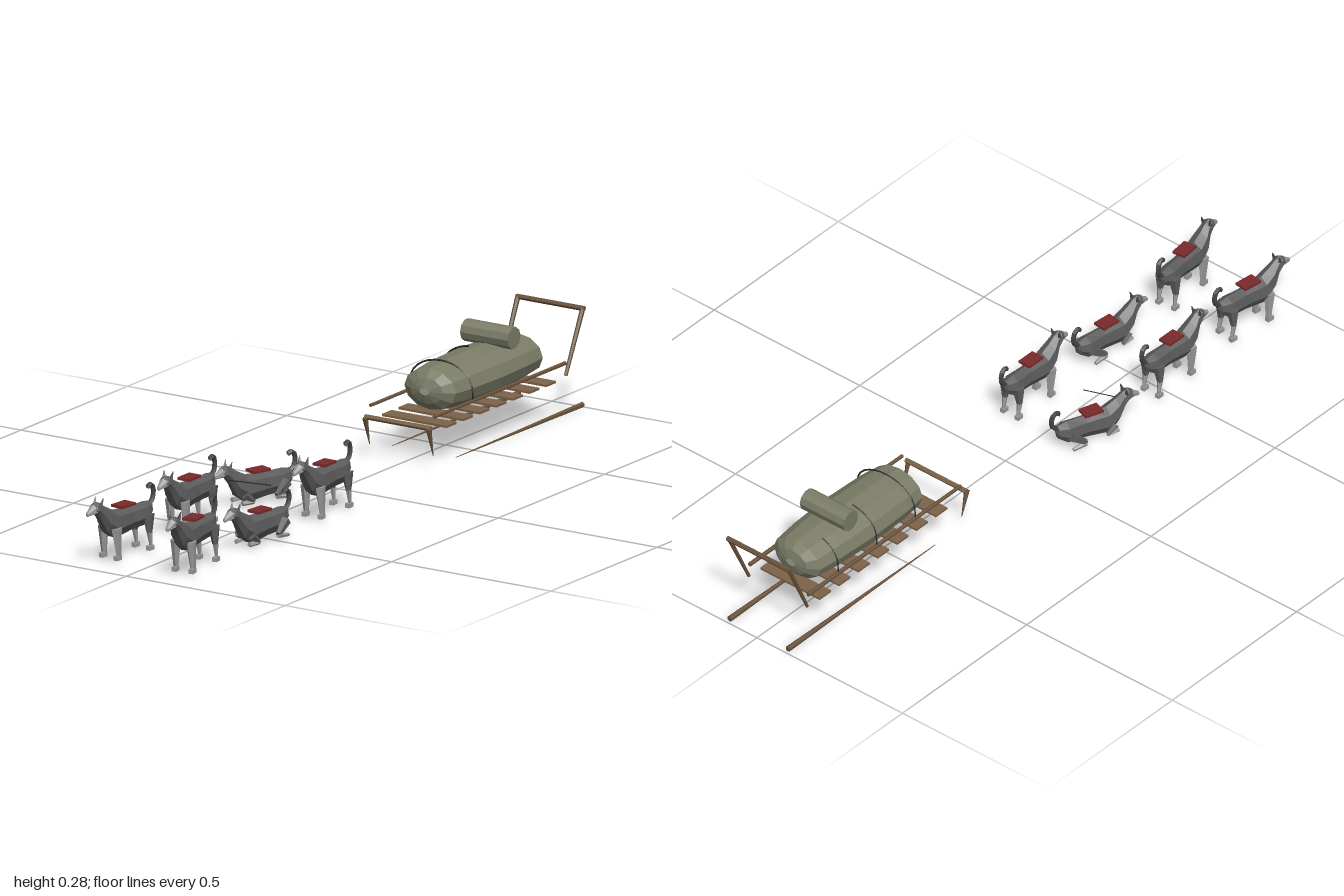
import * as THREE from 'three';

const mat = (color) => new THREE.MeshStandardMaterial({ color, flatShading: true, side: THREE.DoubleSide });
const wood = mat(0x6b543e), plank = mat(0x7d6248), canvas = mat(0x7b7d67), rope = mat(0x2a2824);
const fur = mat(0x5c5c5c), darkFur = mat(0x454545), paleFur = mat(0x9a9a9a), red = mat(0x7a2a2a);
const V = (x, y, z) => new THREE.Vector3(x, y, z);

function add(parent, name, geometry, material) {
  const mesh = new THREE.Mesh(geometry, material);
  mesh.name = name;
  parent.add(mesh);
  return mesh;
}

// Tapered round bar from a to b
function bar(parent, name, a, b, ra, rb, material, sides = 6) {
  const mesh = add(parent, name, new THREE.CylinderGeometry(rb, ra, a.distanceTo(b), sides), material);
  mesh.position.copy(a).add(b).multiplyScalar(0.5);
  mesh.quaternion.setFromUnitVectors(V(0, 1, 0), b.clone().sub(a).normalize());
  return mesh;
}

// Skin over elliptical sections [z, y, halfWidth, halfHeight]
function loft(sections, sides) {
  const pos = [], index = [];
  sections.forEach(([z, y, w, h], i) => {
    for (let j = 0; j < sides; j++) {
      const t = (j / sides) * Math.PI * 2 + Math.PI / 2;
      pos.push(Math.cos(t) * w, y + Math.sin(t) * h, z);
      if (i < sections.length - 1) {
        const a = i * sides + j, b = i * sides + (j + 1) % sides;
        index.push(a, b, b + sides, a, b + sides, a + sides);
      }
    }
  });
  const g = new THREE.BufferGeometry();
  g.setAttribute('position', new THREE.Float32BufferAttribute(pos, 3));
  g.setIndex(index);
  g.computeVertexNormals();
  return g;
}

function createDog(lying) {
  const dog = new THREE.Group();
  dog.name = lying ? 'lyingDog' : 'standingDog';
  const body = new THREE.Group();
  body.name = 'dogBody';
  body.position.y = lying ? -0.055 : 0;
  dog.add(body);

  add(body, 'torso', loft([
    [-0.118, 0.115, 0.001, 0.001], [-0.112, 0.112, 0.015, 0.02], [-0.085, 0.104, 0.026, 0.032],
    [-0.03, 0.102, 0.023, 0.033], [0.035, 0.1, 0.03, 0.039], [0.065, 0.118, 0.026, 0.036],
    [0.085, 0.143, 0.018, 0.025], [0.1, 0.156, 0.017, 0.018], [0.112, 0.156, 0.013, 0.013],
  ], 7), fur);
  add(body, 'muzzle', loft([
    [0.108, 0.156, 0.015, 0.015], [0.118, 0.152, 0.011, 0.011],
    [0.134, 0.146, 0.006, 0.006], [0.136, 0.145, 0.001, 0.001],
  ], 6), paleFur);
  const tail = new THREE.CatmullRomCurve3([
    V(0, 0.118, -0.108), V(0, 0.135, -0.127), V(0, 0.16, -0.13), V(0, 0.175, -0.12), V(0, 0.17, -0.107),
  ]);
  add(body, 'tail', new THREE.TubeGeometry(tail, 7, 0.007, 5), darkFur);
  add(body, 'harnessPad', new THREE.BoxGeometry(0.038, 0.007, 0.055), red).position.set(0, 0.143, -0.01);

  for (const s of [-1, 1]) {
    bar(body, 'ear', V(s * 0.011, 0.165, 0.092), V(s * 0.014, 0.184, 0.087), 0.006, 0.001, darkFur, 4);
    if (lying) {
      // Folded legs resting along the flanks
      bar(dog, 'foldedThigh', V(s * 0.025, 0.048, -0.085), V(s * 0.034, 0.02, -0.045), 0.015, 0.008, fur, 5);
      bar(dog, 'foldedShank', V(s * 0.034, 0.018, -0.045), V(s * 0.036, 0.012, -0.085), 0.008, 0.005, paleFur, 5);
      bar(dog, 'foldedForeleg', V(s * 0.022, 0.035, 0.05), V(s * 0.027, 0.014, 0.025), 0.012, 0.006, fur, 5);
      bar(dog, 'forepaw', V(s * 0.026, 0.013, 0.025), V(s * 0.022, 0.013, 0.06), 0.006, 0.007, paleFur, 5);
    } else {
      bar(dog, 'foreleg', V(s * 0.022, 0.095, 0.045), V(s * 0.025, 0.016, 0.038), 0.015, 0.007, paleFur, 5);
      bar(dog, 'thigh', V(s * 0.021, 0.105, -0.085), V(s * 0.025, 0.055, -0.085), 0.017, 0.008, fur, 5);
      bar(dog, 'shank', V(s * 0.025, 0.057, -0.085), V(s * 0.025, 0.016, -0.092), 0.008, 0.004, paleFur, 5);
      for (const z of [0.042, -0.088])
        add(dog, 'paw', new THREE.BoxGeometry(0.013, 0.012, 0.02), paleFur).position.set(s * 0.025, 0.014, z);
    }
  }
  return dog;
}

function createSled() {
  const sled = new THREE.Group();
  sled.name = 'sled';

  // Rails, runners, handlebar uprights and front bow spikes
  for (const s of [-1, 1]) {
    const x = s * 0.1;
    bar(sled, 'sideRail', V(x, 0.14, -0.912), V(x, 0.14, -0.297), 0.006, 0.005, wood);
    bar(sled, 'runner', V(x, 0.008, -0.993), V(x, 0.006, -0.4), 0.008, 0.001, wood);
    bar(sled, 'handlebarUpright', V(x, 0.105, -0.915), V(s * 0.102, 0.27, -0.992), 0.005, 0.007, wood);
    bar(sled, 'bowSpike', V(x, 0.112, -0.272), V(x, 0.036, -0.293), 0.008, 0.001, wood, 5);
  }
  bar(sled, 'handlebarGrip', V(-0.107, 0.27, -0.993), V(0.107, 0.27, -0.993), 0.007, 0.007, wood);
  bar(sled, 'frontBow', V(-0.104, 0.113, -0.278), V(0.104, 0.113, -0.278), 0.007, 0.007, plank);

  // Deck slats
  for (let i = 0; i < 7; i++)
    add(sled, 'deckSlat', new THREE.BoxGeometry(0.204, 0.006, 0.046), plank).position.set(0, 0.1, -0.376 - i * 0.078);

  // Canvas cargo bundle, open at its tips
  const profile = [[0.16, -0.865], [0.55, -0.858], [0.85, -0.838], [0.94, -0.76], [1, -0.63],
    [0.95, -0.49], [0.86, -0.428], [0.55, -0.41], [0.16, -0.4]].map(([r, z]) => new THREE.Vector2(r, z));
  const bundle = new THREE.LatheGeometry(profile, 12);
  bundle.rotateX(Math.PI / 2).scale(0.094, 0.065, 1);
  add(sled, 'cargoBundle', bundle, canvas).position.y = 0.169;
  bar(sled, 'bedroll', V(-0.075, 0.252, -0.71), V(0.075, 0.252, -0.71), 0.03, 0.03, canvas, 10);

  // Lashings [z, start angle, end angle] over the bundle
  for (const [z, from, to] of [[-0.48, 0, Math.PI], [-0.635, 1.75, Math.PI], [-0.79, 2.05, Math.PI]]) {
    const pts = [];
    for (let i = 0; i <= 8; i++) {
      const t = from + (to - from) * i / 8;
      pts.push(V(Math.cos(t) * 0.099, 0.167 + Math.sin(t) * 0.068, z));
    }
    pts.push(V(-0.1, 0.142, z));
    if (from === 0) pts.unshift(V(0.1, 0.142, z));
    add(sled, 'lashing', new THREE.TubeGeometry(new THREE.CatmullRomCurve3(pts), 16, 0.0025, 4), rope);
  }
  return sled;
}

export function createModel() {
  const model = new THREE.Group();
  model.name = 'dogSledTeam';
  model.add(createSled());

  // Team of six: [x, z, heading, lying]
  for (const [x, z, heading, lying] of [
    [0.11, 0.242, 0, false], [-0.108, 0.232, -0.33, true],
    [0.11, 0.548, -0.1, true], [-0.108, 0.552, 0, false],
    [0.114, 0.863, 0.1, false], [-0.108, 0.863, -0.12, false],
  ]) {
    const dog = createDog(lying);
    dog.position.set(x, 0, z);
    dog.rotation.y = heading;
    model.add(dog);
  }
  bar(model, 'looseTether', V(-0.13, 0.08, 0.325), V(-0.02, 0.075, 0.29), 0.0015, 0.0015, rope, 4);
  return model;
}
